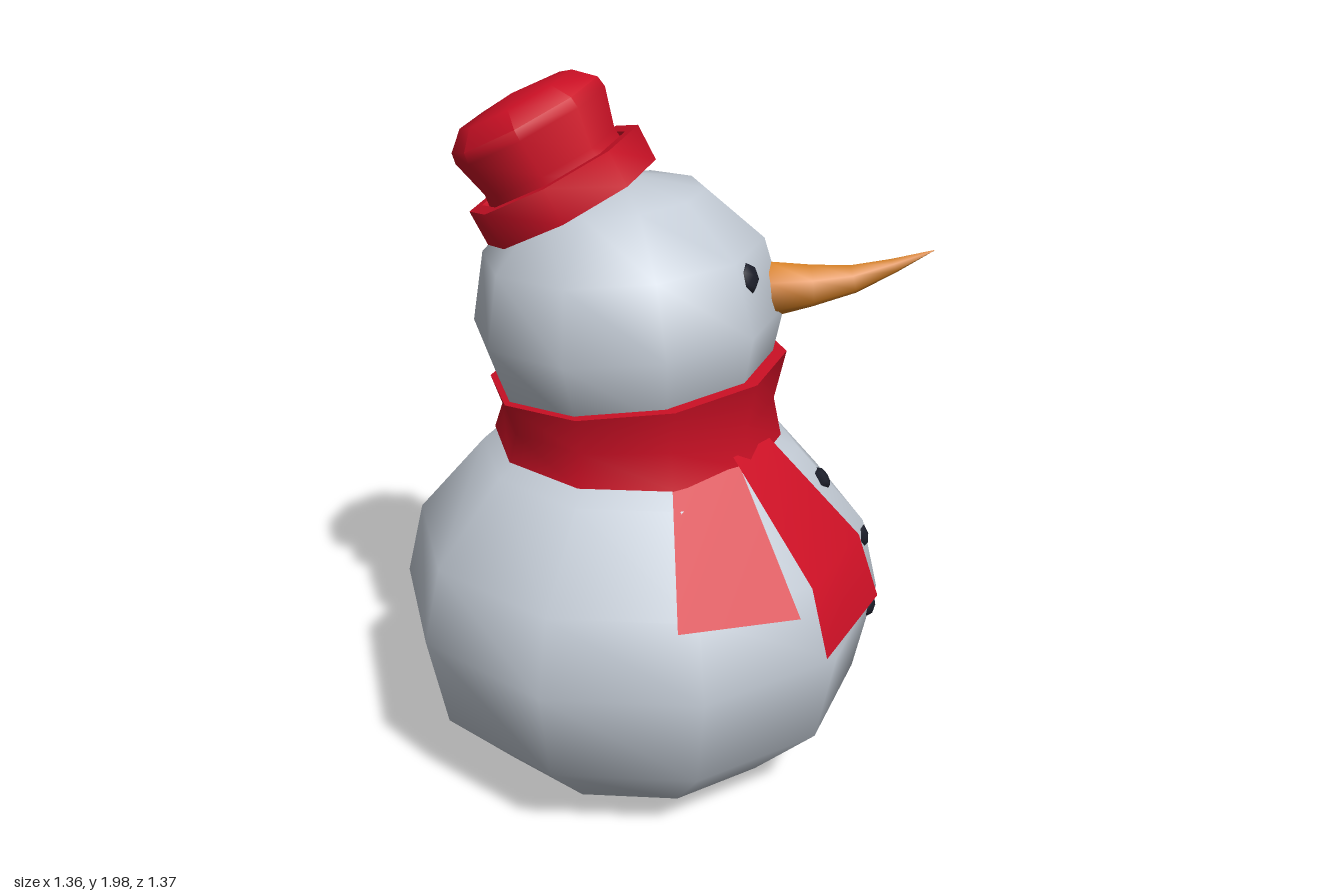
import * as THREE from 'three';
import { toCreasedNormals } from 'three/addons/utils/BufferGeometryUtils.js';

const mat = (name, color, side = THREE.FrontSide) => {
  const m = new THREE.MeshStandardMaterial({ color, side });
  m.name = name;
  return m;
};

const v = (p) => new THREE.Vector3(...p);
const CREASE = 0.9;
const UP = new THREE.Vector3(0, 1, 0);

// Turned shape from [radius, height] pairs, bottom to top
function turned(profile, sides, phase) {
  return new THREE.LatheGeometry(profile.map(([r, y]) => new THREE.Vector2(r, y)), sides, phase);
}

export function createModel() {
  const model = new THREE.Group();
  const snow = mat('snow', 0xc4ccd6);
  const red = mat('red cloth', 0xcc1025, THREE.DoubleSide);
  const orange = mat('carrot orange', 0xd88022);
  const coal = mat('coal', 0x1c1e2a);

  const add = (name, geometry, material, pos = [0, 0, 0]) => {
    const mesh = new THREE.Mesh(geometry, material);
    mesh.name = name;
    mesh.position.set(...pos);
    model.add(mesh);
    return mesh;
  };
  const phase = THREE.MathUtils.degToRad(94.2);

  // Snowballs
  const bodyProfile = [[0, 0.005], [0.43, 0.06], [0.625, 0.26], [0.68, 0.53], [0.63, 0.74], [0.44, 0.96], [0.22, 1.06], [0, 1.08]];
  add('body', toCreasedNormals(turned(bodyProfile, 10, phase), CREASE), snow, [0, 0, -0.03]);

  const headProfile = [[0, -0.4], [0.24, -0.34], [0.37, -0.18], [0.42, 0], [0.375, 0.19], [0.23, 0.33], [0, 0.385]];
  const head = add('head', toCreasedNormals(turned(headProfile, 10, phase), CREASE), snow, [-0.03, 1.345, -0.045]);
  head.rotation.set(-0.04, 0, 0.06);

  // Scarf band: flat below, upper edge rising towards the front left
  const band = turned([[0.3, 1], [0.398, 1], [0.375, 1.09], [0.405, 1.2], [0.355, 1.205], [0.34, 1.14]], 10, phase);
  const bp = band.attributes.position;
  for (let i = 0; i < bp.count; i++) {
    const lift = Math.max(0, (bp.getY(i) - 1) / 0.2);
    bp.setY(i, bp.getY(i) + lift * (0.09 * bp.getX(i) + 0.075 * bp.getZ(i)));
  }
  add('scarfBand', toCreasedNormals(band, CREASE), red, [-0.01, 0, -0.03]);

  // Scarf tails: thin strips between a left and a right edge
  const tail = (name, edgeA, edgeB) => {
    const points = [], index = [];
    edgeA.forEach((a, i) => {
      points.push(...a, ...edgeB[i]);
      if (i) {
        const k = 2 * i;
        index.push(k - 2, k, k - 1, k - 1, k, k + 1);
      }
    });
    const g = new THREE.BufferGeometry();
    g.setAttribute('position', new THREE.Float32BufferAttribute(points, 3));
    g.setIndex(index);
    g.computeVertexNormals();
    add(name, g, red);
  };
  tail('longScarfTail',
    [[0.08, 1.05, 0.34], [0.155, 0.78, 0.62], [0.17, 0.6, 0.68]],
    [[0.24, 1.04, 0.26], [0.43, 0.78, 0.43], [0.48, 0.595, 0.465]]);
  tail('shortScarfTail',
    [[-0.1, 1.01, 0.34], [-0.235, 0.755, 0.62]],
    [[0.1, 1.02, 0.34], [0.1, 0.725, 0.655]]);

  // Tilted hat: brim and flared crown share one axis
  const hat = new THREE.Group();
  hat.name = 'hat';
  hat.position.set(-0.175, 1.69, -0.135);
  hat.quaternion.setFromUnitVectors(UP, new THREE.Vector3(-0.38, 0.89, -0.27).normalize());
  const hatPhase = THREE.MathUtils.degToRad(106);
  const hatPart = (name, profile) => {
    const mesh = new THREE.Mesh(toCreasedNormals(turned(profile, 8, hatPhase), CREASE), red);
    mesh.name = name;
    hat.add(mesh);
  };
  hatPart('hatBrim', [[0.18, -0.05], [0.25, -0.05], [0.25, 0.05], [0.212, 0.05], [0.2, 0.02]]);
  hatPart('hatCrown', [[0.2, 0], [0.192, 0.07], [0.22, 0.175], [0.215, 0.205], [0.165, 0.25], [0, 0.268]]);
  model.add(hat);

  // Curved carrot nose tapering to a point
  const curve = new THREE.CatmullRomCurve3([[0.29, 1.42, 0.155], [0.48, 1.445, 0.25], [0.67, 1.528, 0.355]].map(v));
  const rings = 4, sides = 6;
  const nose = new THREE.TubeGeometry(curve, rings, 1, sides, false);
  const np = nose.attributes.position;
  for (let i = 0; i < np.count; i++) {
    const u = Math.floor(i / (sides + 1)) / rings;
    const c = curve.getPointAt(u);
    const p = new THREE.Vector3().fromBufferAttribute(np, i).sub(c).multiplyScalar(0.077 * (1 - u) + 0.001).add(c);
    np.setXYZ(i, p.x, p.y, p.z);
  }
  add('carrotNose', toCreasedNormals(nose, 1.2), orange);

  // Coal pieces lie flat against the snow, facing away from its centre
  const coalShape = new THREE.SphereGeometry(1, 6, 4);
  const lump = (name, pos, centre, radius) => {
    const mesh = add(name, coalShape, coal, pos);
    mesh.scale.set(radius, 0.022, radius);
    mesh.quaternion.setFromUnitVectors(UP, v(pos).sub(v(centre)).normalize());
  };
  const headCentre = [-0.03, 1.345, -0.045], bodyCentre = [0, 0.53, -0.03];
  lump('rightEye', [0.155, 1.505, 0.26], headCentre, 0.045);
  lump('leftEye', [0.325, 1.505, 0], headCentre, 0.045);
  [[0.425, 0.87, 0.245], [0.525, 0.7, 0.31], [0.555, 0.475, 0.325]]
    .forEach((p, i) => lump('button' + (i + 1), p, bodyCentre, 0.036));

  return model;
}
